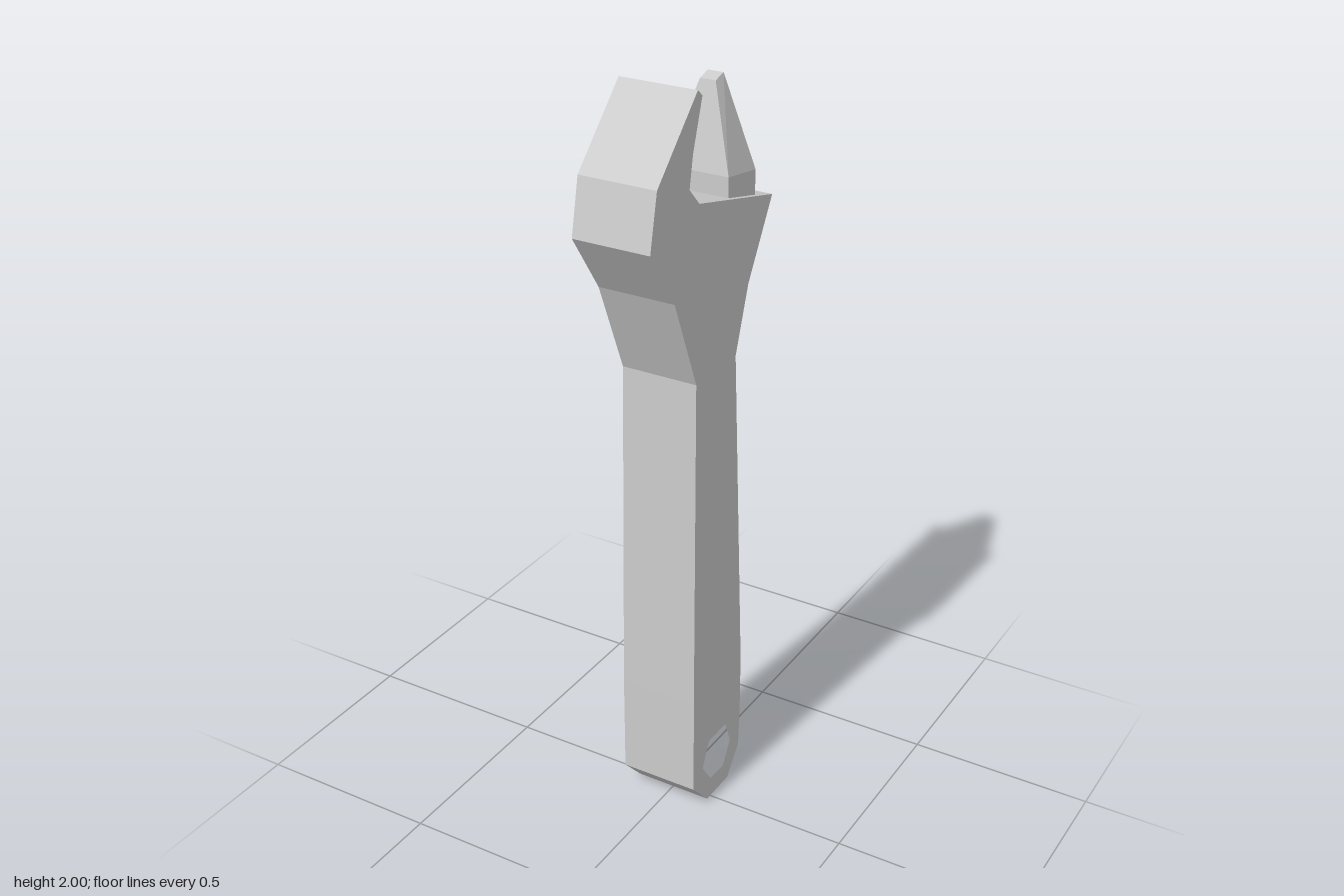
import * as THREE from 'three';

const material = new THREE.MeshStandardMaterial({ color: 0xcccccc, flatShading: true });

function addPart(group, name, geometry) {
  geometry.computeVertexNormals();
  const mesh = new THREE.Mesh(geometry, material);
  mesh.name = name;
  group.add(mesh);
}

// Move every vertex of a geometry by a rule
function reshape(geometry, rule) {
  const pos = geometry.attributes.position;
  const v = new THREE.Vector3();
  for (let i = 0; i < pos.count; i++) {
    v.fromBufferAttribute(pos, i);
    rule(v);
    pos.setXYZ(i, v.x, v.y, v.z);
  }
  return geometry;
}

const toPoints = (list) => list.map(([z, y]) => new THREE.Vector2(z, y));

// Handle, head and fixed jaw: one side outline with a hanging hole, as [z, y]
function bodyGeometry() {
  const shape = new THREE.Shape(toPoints([
    [0.016, 0], [-0.095, 0], [-0.155, 0.075], [-0.16, 0.2], [-0.16, 0.36],
    [-0.112, 1.28], [-0.17, 1.45], [-0.283, 1.645],
    [0.07, 1.733], [0.115, 1.78], [0.1, 1.86], [0.06, 1.983], [0.08, 2],
    [0.255, 1.822], [0.285, 1.68], [0.18, 1.525], [0.08, 1.28],
    [0.091, 0.36], [0.09, 0.08],
  ]));
  shape.holes.push(new THREE.Path(toPoints([
    [0.01, 0.19], [0.042, 0.12], [0, 0.06], [-0.07, 0.056], [-0.107, 0.12], [-0.08, 0.19],
  ])));
  const geometry = new THREE.ExtrudeGeometry(shape, { depth: 0.206, bevelEnabled: false });
  geometry.translate(0, 0, -0.103);
  geometry.rotateY(-Math.PI / 2);
  // The handle thickens slightly towards its end
  return reshape(geometry, (v) => {
    v.x *= 1 + 0.045 * THREE.MathUtils.clamp((1.28 - v.y) / 0.92, 0, 1);
  });
}

// Sliding jaw: a straight block that narrows to a small slanted tip
function jawGeometry() {
  const levels = [ // y at front and back, x range, z range
    { y: [1.62, 1.6], x: [-0.083, 0.09], z: [-0.087, -0.219] },
    { y: [1.745, 1.725], x: [-0.083, 0.09], z: [-0.087, -0.219] },
    { y: [1.953, 1.963], x: [-0.018, 0.024], z: [-0.138, -0.175] },
  ];
  return reshape(new THREE.BoxGeometry(1, 1, 1, 1, 2, 1), (v) => {
    const level = levels[Math.round((v.y + 0.5) * 2)];
    const back = v.z > 0 ? 0 : 1;
    v.set(level.x[v.x > 0 ? 1 : 0], level.y[back], level.z[back]);
  });
}

export function createModel() {
  const group = new THREE.Group();
  group.name = 'adjustableWrench';
  addPart(group, 'wrenchBody', bodyGeometry());
  addPart(group, 'slidingJaw', jawGeometry());
  return group;
}
